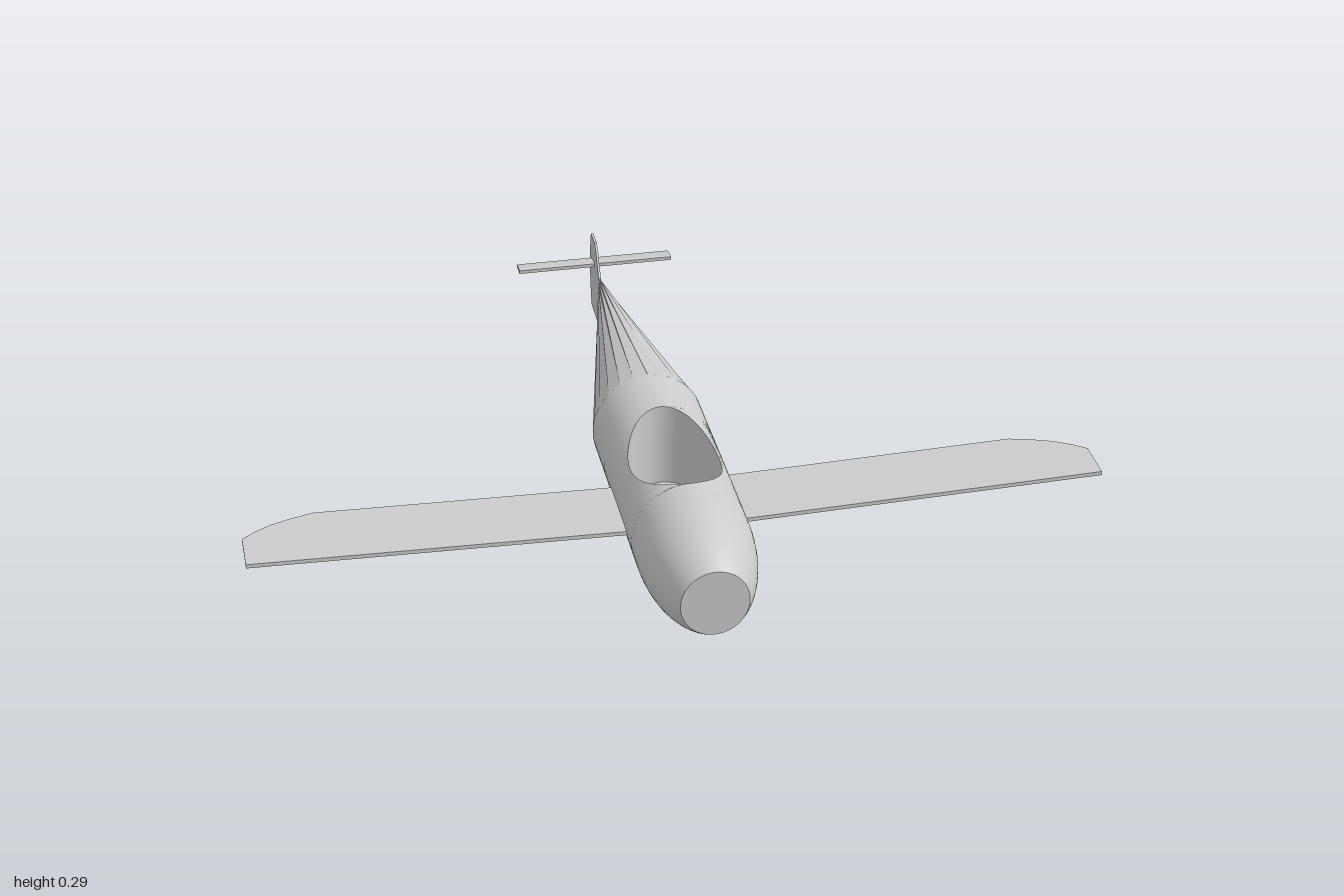
import * as THREE from 'three';
import { toCreasedNormals } from 'three/addons/utils/BufferGeometryUtils.js';

const HALF_W = 0.135, HALF_H = 0.143, MID_Y = 0.147;
const PIT = { z: 0.32, rx: 0.105, rz: 0.17, floor: 0.08 };

// Skin a list of equally long point rows; rows and points run so that (along row) x (next row) faces out
function loft(rows) {
  const n = rows[0].length, index = [];
  for (let i = 0; i < rows.length - 1; i++) {
    for (let j = 0; j < n - 1; j++) {
      const a = i * n + j, b = a + n;
      index.push(a, a + 1, b, a + 1, b + 1, b);
    }
  }
  const geometry = new THREE.BufferGeometry();
  geometry.setAttribute('position', new THREE.Float32BufferAttribute(rows.flat(2), 3));
  geometry.setIndex(index);
  geometry.computeVertexNormals();
  return geometry;
}

// Oval section from the top round to the top again, leaving a gap of half-width gapX
function section(z, hw, hh, cy, sides, gapX = 0) {
  const t0 = Math.asin(gapX / hw);
  return Array.from({ length: sides + 1 }, (_, j) => {
    const t = t0 + (2 * Math.PI - 2 * t0) * j / sides;
    return [hw * Math.sin(t), cy + hh * Math.cos(t), z];
  });
}

// Flat plate outlined in (u, v), extruded by depth
function plate(points, depth) {
  const shape = new THREE.Shape(points.map(([u, v]) => new THREE.Vector2(u, v)));
  return new THREE.ExtrudeGeometry(shape, { depth, bevelEnabled: false });
}

export function createModel() {
  const model = new THREE.Group();
  const smooth = new THREE.MeshStandardMaterial({ color: 0xcccccc, side: THREE.DoubleSide });
  const faceted = new THREE.MeshStandardMaterial({ color: 0xcccccc, side: THREE.DoubleSide, flatShading: true });
  const add = (name, geometry, material) => {
    const mesh = new THREE.Mesh(geometry, material);
    mesh.name = name;
    model.add(mesh);
    return mesh;
  };

  // Rounded nose and body, opened along the cockpit rim
  const rows = [];
  const noseScale = z => Math.sqrt(1 - ((z - 0.53) / 0.285) ** 2);
  for (let i = 0; i <= 14; i++) {
    const z = 0.53 + 0.232 * Math.cos(Math.PI / 2 * i / 14), s = noseScale(z);
    rows.push(section(z, HALF_W * s, HALF_H * s, MID_Y, 48));
  }
  for (let i = 0; i <= 32; i++) {
    const a = Math.PI * i / 32;
    rows.push(section(PIT.z + PIT.rz * Math.cos(a), HALF_W, HALF_H, MID_Y, 48, PIT.rx * Math.sin(a)));
  }
  rows.push(section(0, HALF_W, HALF_H, MID_Y, 48));
  add('body', toCreasedNormals(loft(rows), 0.6), smooth);

  // Flat nose face
  const tip = noseScale(0.762);
  const face = add('noseFace', new THREE.CircleGeometry(1, 48), smooth);
  face.scale.set(HALF_W * tip, HALF_H * tip, 1);
  face.position.set(0, MID_Y, 0.762);

  // Cockpit well: upright oval wall and floor
  const rim = [], base = [];
  for (let i = 0; i <= 64; i++) {
    const a = 2 * Math.PI * i / 64;
    const x = PIT.rx * Math.sin(a), z = PIT.z + PIT.rz * Math.cos(a);
    rim.push([x, MID_Y + HALF_H * Math.sqrt(1 - (x / HALF_W) ** 2), z]);
    base.push([x, PIT.floor, z]);
  }
  add('cockpitWall', toCreasedNormals(loft([base, rim]), 0.6), smooth);
  const floor = add('cockpitFloor', new THREE.CircleGeometry(1, 64).rotateX(-Math.PI / 2), smooth);
  floor.scale.set(PIT.rx, 1, PIT.rz);
  floor.position.set(0, PIT.floor, PIT.z);

  // Faceted tail cone narrowing to an upright edge
  add('tailCone', loft([
    section(0, HALF_W, HALF_H, MID_Y, 24),
    section(-0.645, 0.004, 0.07, 0.14, 24),
  ]), faceted);

  // Wings with clipped trailing tips and slight dihedral
  const wingOutline = [[0.115, 0.24], [0.83, 0.24], [0.88, 0.255], [0.93, 0.275],
    [0.97, 0.3], [1, 0.325], [1, 0.43], [0.115, 0.43]];
  for (const side of [1, -1]) {
    const wing = plate(wingOutline.map(([x, z]) => [side * x, z]), 0.01);
    wing.rotateX(Math.PI / 2); // outline v becomes z, depth goes down
    const p = wing.attributes.position;
    for (let i = 0; i < p.count; i++) p.setY(i, p.getY(i) + 0.135 + 0.026 * Math.abs(p.getX(i)));
    wing.computeVertexNormals();
    add(side > 0 ? 'leftWing' : 'rightWing', wing, faceted);
  }

  // Upright fin, outlined in (-z, y)
  const fin = plate([[0.635, 0.07], [0.745, 0.076], [0.755, 0.11], [0.762, 0.16], [0.762, 0.2],
    [0.756, 0.25], [0.745, 0.287], [0.69, 0.287], [0.672, 0.266], [0.655, 0.238], [0.635, 0.21]], 0.006);
  fin.translate(0, 0, -0.003).rotateY(Math.PI / 2);
  add('fin', fin, faceted);

  // Tailplane with a thin wing section, outlined in (-z, y)
  const tailplane = plate([[0.695, 0.215], [0.72, 0.213], [0.745, 0.216], [0.725, 0.222],
    [0.705, 0.225], [0.695, 0.224]], 0.4);
  tailplane.translate(0, 0, -0.2).rotateY(Math.PI / 2);
  add('tailplane', tailplane, faceted);

  return model;
}
